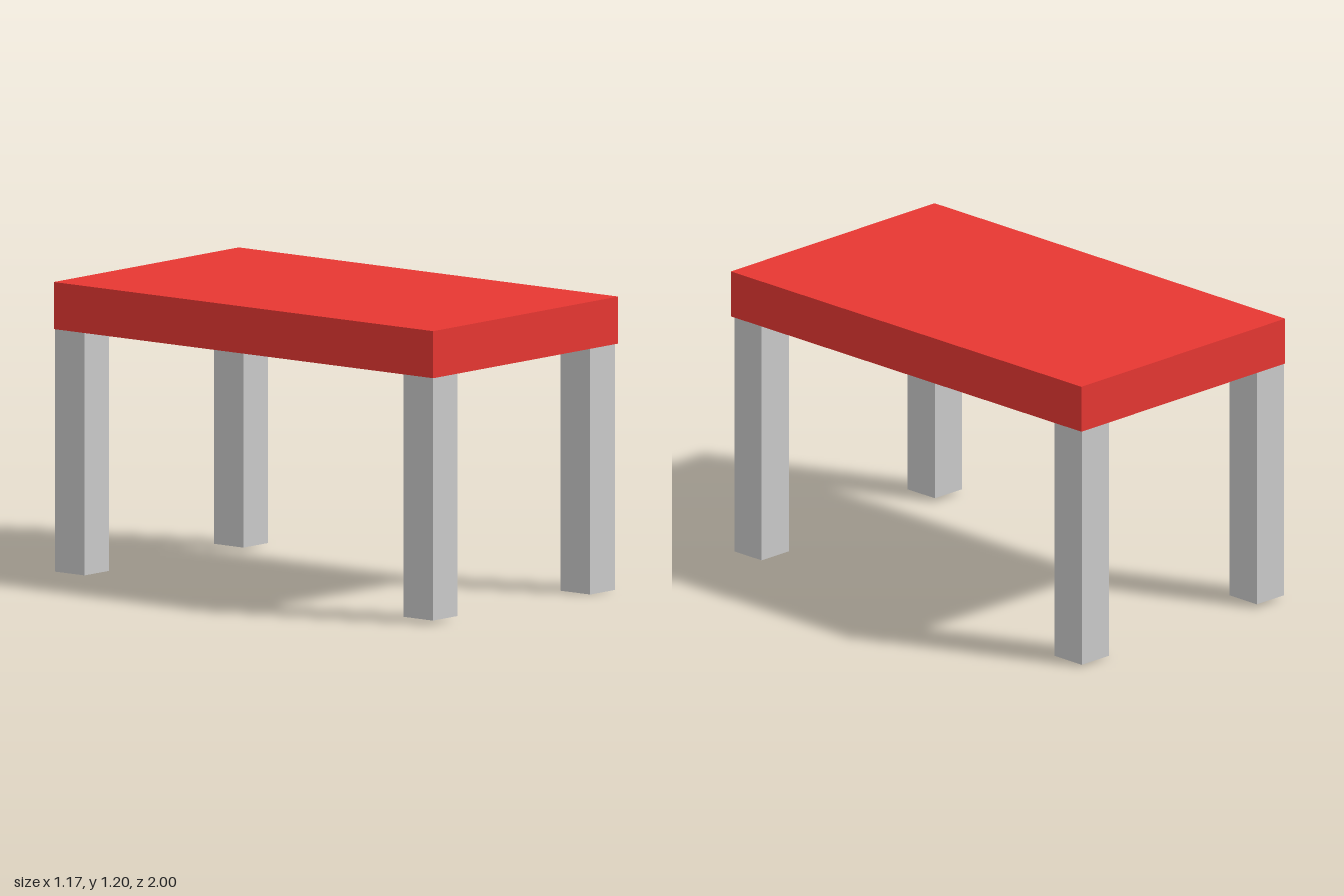
import * as THREE from 'three';

export function createModel() {
  const model = new THREE.Group();
  const grey = new THREE.MeshStandardMaterial({ color: 0xcccccc });
  const red = new THREE.MeshStandardMaterial({ color: 0xe73732 });

  const addBox = (name, material, [w, h, d], [x, y, z]) => {
    const mesh = new THREE.Mesh(new THREE.BoxGeometry(w, h, d), material);
    mesh.name = name;
    mesh.position.set(x, y, z);
    model.add(mesh);
  };

  // Thick slab top
  const underside = 1.01, top = 1.203;
  addBox('tableTop', red, [1.172, top - underside, 2], [0, (top + underside) / 2, 0]);

  // Square legs, each placed slightly unevenly: name, centre x, centre z, foot height
  const legSize = 0.156;
  const legs = [
    ['frontLeftLeg', 0.497, 0.913, 0],
    ['frontRightLeg', -0.505, 0.918, 0.015],
    ['backLeftLeg', 0.503, -0.919, 0.007],
    ['backRightLeg', -0.504, -0.919, 0.015],
  ];
  for (const [name, x, z, foot] of legs) {
    addBox(name, grey, [legSize, underside - foot, legSize], [x, (underside + foot) / 2, z]);
  }

  return model;
}
